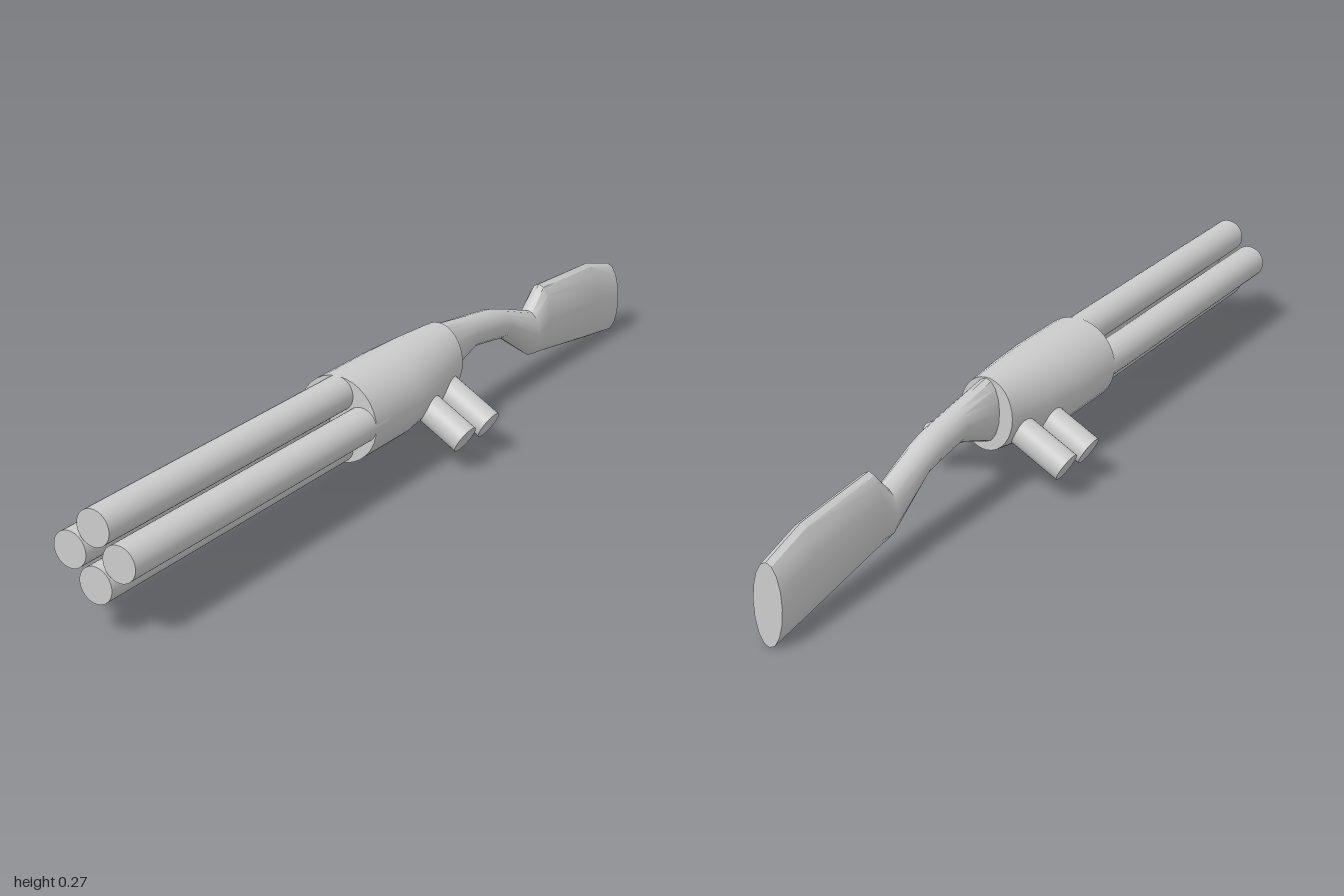
import * as THREE from 'three';
import { toCreasedNormals } from 'three/addons/utils/BufferGeometryUtils.js';

const material = new THREE.MeshStandardMaterial({ color: 0xcccccc });
const AXIS_Y = 0.172;

// Capped loft through elliptical sections [z, bottom, top, halfWidth], listed from front to back
function loft(sections, sides, crease) {
  const pos = [], index = [];
  for (const [z, bottom, top, w] of sections) {
    for (let i = 0; i < sides; i++) {
      const a = (i / sides) * Math.PI * 2;
      pos.push(w * Math.cos(a), (top + bottom) / 2 + ((top - bottom) / 2) * Math.sin(a), z);
    }
  }
  const last = (sections.length - 1) * sides;
  for (let s = 0; s < last; s += sides) {
    for (let i = 0; i < sides; i++) {
      const j = (i + 1) % sides;
      index.push(s + i, s + sides + i, s + j, s + j, s + sides + i, s + sides + j);
    }
  }
  for (let i = 1; i < sides - 1; i++) {
    index.push(0, i, i + 1, last, last + i + 1, last + i);
  }
  const geometry = new THREE.BufferGeometry();
  geometry.setAttribute('position', new THREE.Float32BufferAttribute(pos, 3));
  geometry.setIndex(index);
  return toCreasedNormals(geometry, crease);
}

// Solid rod between two points
function rod(name, from, to, radius) {
  const dir = to.clone().sub(from);
  const mesh = new THREE.Mesh(new THREE.CylinderGeometry(radius, radius, dir.length(), 32), material);
  mesh.name = name;
  mesh.position.copy(from).add(to).multiplyScalar(0.5);
  mesh.quaternion.setFromUnitVectors(new THREE.Vector3(0, 1, 0), dir.normalize());
  return mesh;
}

export function createModel() {
  const model = new THREE.Group();
  model.name = 'fourBarrelGun';

  // Four barrels in a diamond
  const barrels = new THREE.Group();
  barrels.name = 'barrels';
  for (let i = 0; i < 4; i++) {
    const a = (i * Math.PI) / 2;
    const x = 0.059 * Math.cos(a), y = AXIS_Y + 0.059 * Math.sin(a);
    barrels.add(rod('barrel', new THREE.Vector3(x, y, 0.15), new THREE.Vector3(x, y, 1), 0.039));
  }
  model.add(barrels);

  // Receiver: round at the front, narrowing in width toward the back
  const receiver = new THREE.Mesh(loft([
    [0.2, 0.074, 0.27, 0.098],
    [0.03, 0.074, 0.27, 0.098],
    [-0.08, 0.082, 0.27, 0.085],
    [-0.2, 0.1, 0.267, 0.064],
  ], 32, 0.6), material);
  receiver.name = 'receiver';
  model.add(receiver);

  // Two pairs of angled stubs under the receiver
  const stubs = new THREE.Group();
  stubs.name = 'sideStubs';
  for (const side of [1, -1]) {
    for (const z of [-0.048, -0.147]) {
      stubs.add(rod('sideStub', new THREE.Vector3(side * 0.03, 0.153, z),
        new THREE.Vector3(side * 0.165, 0.075, z), 0.034));
    }
  }
  model.add(stubs);

  // Shoulder stock: slim grip, notch, then a deep butt
  const stock = new THREE.Mesh(loft([
    [-0.17, 0.118, 0.267, 0.033],
    [-0.2, 0.12, 0.265, 0.033],
    [-0.33, 0.168, 0.245, 0.033],
    [-0.42, 0.155, 0.232, 0.033],
    [-0.47, 0.147, 0.218, 0.033],
    [-0.6, 0.062, 0.175, 0.033],
    [-0.65, 0.054, 0.227, 0.033],
    [-0.885, 0.018, 0.213, 0.033],
    [-1, 0.002, 0.18, 0.033],
  ], 16, 0.55), material);
  stock.name = 'stock';
  model.add(stock);

  return model;
}
